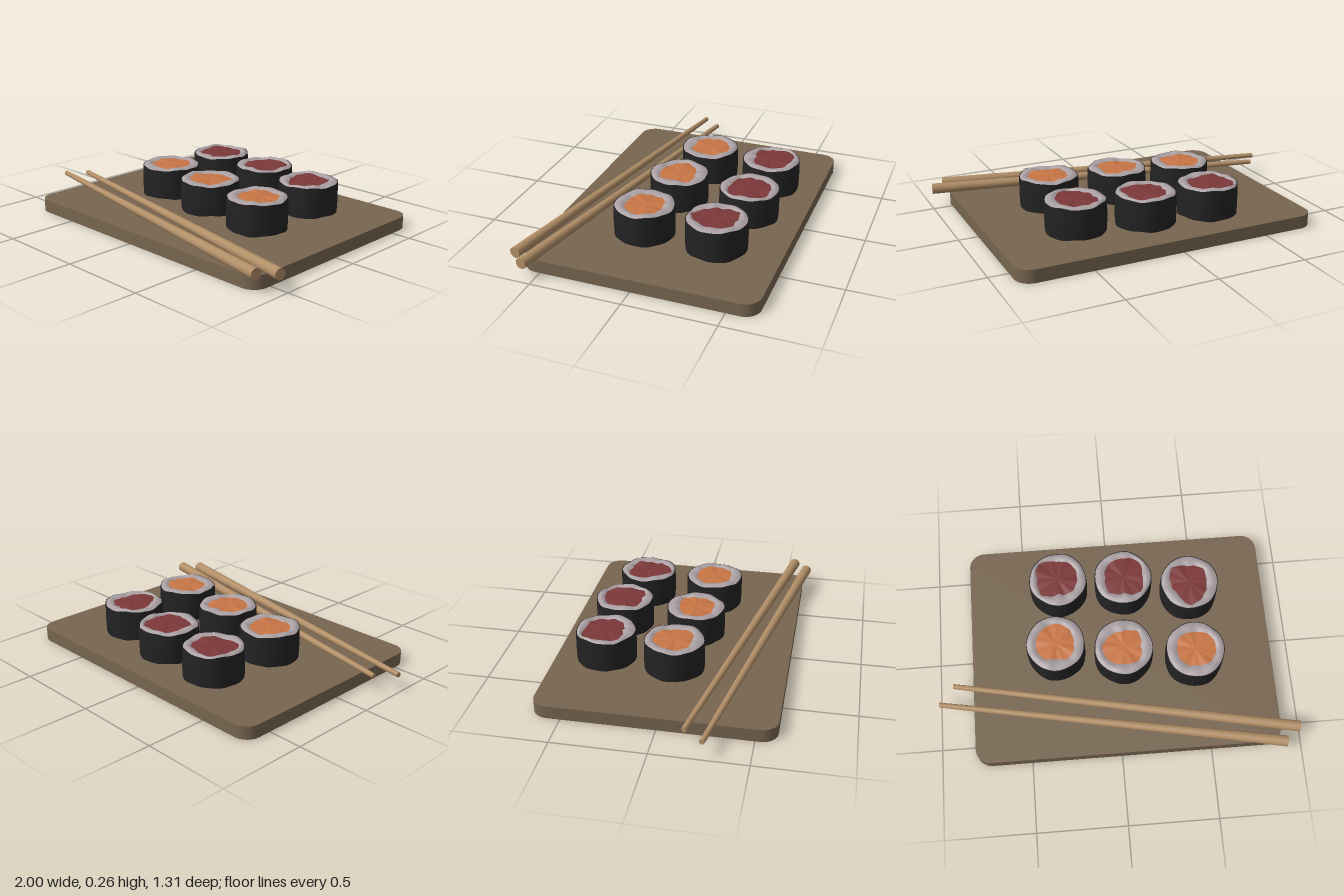
import * as THREE from 'three';

const flat = (name, color) => {
  const m = new THREE.MeshStandardMaterial({ color });
  m.name = name;
  return m;
};

const SEG = 64;
const LOW = 0.074, HIGH = 0.252, RADIUS = 0.162;

// Closed skin through rings; point(row, angle) returns [radius, height].
// Rows running outward on top, or downward on a wall, face out.
function skin(rows, point) {
  const pos = [], index = [];
  for (let i = 0; i <= rows; i++) {
    for (let j = 0; j < SEG; j++) {
      const a = (j / SEG) * Math.PI * 2;
      const [r, y] = point(i / rows, a);
      pos.push(r * Math.cos(a), y, r * Math.sin(a));
    }
  }
  for (let i = 0; i < rows; i++) {
    for (let j = 0; j < SEG; j++) {
      const k = (j + 1) % SEG;
      const a = i * SEG + j, b = i * SEG + k, c = a + SEG, d = b + SEG;
      index.push(a, b, c, b, d, c);
    }
  }
  const g = new THREE.BufferGeometry();
  g.setAttribute('position', new THREE.Float32BufferAttribute(pos, 3));
  g.setIndex(index);
  g.computeVertexNormals();
  return g;
}

export function createModel() {
  const wood = flat('board wood', 0x776550);
  const bamboo = flat('chopstick wood', 0xb08d66);
  const nori = flat('seaweed', 0x232323);
  const rice = flat('rice', 0xaaa0a3);
  const salmon = flat('salmon', 0xc87545);
  const tuna = flat('tuna', 0x7c3839);

  const model = new THREE.Group();
  const add = (parent, name, geometry, material) => {
    const mesh = new THREE.Mesh(geometry, material);
    mesh.name = name;
    parent.add(mesh);
    return mesh;
  };

  // Serving board with rounded corners
  const x0 = -0.807, x1 = 0.892, y0 = -0.61, y1 = 0.658, c = 0.085;
  const s = new THREE.Shape();
  s.absarc(x1 - c, y1 - c, c, 0, Math.PI / 2);
  s.absarc(x0 + c, y1 - c, c, Math.PI / 2, Math.PI);
  s.absarc(x0 + c, y0 + c, c, Math.PI, Math.PI * 1.5);
  s.absarc(x1 - c, y0 + c, c, Math.PI * 1.5, Math.PI * 2);
  const board = new THREE.ExtrudeGeometry(s, { depth: 0.072, bevelEnabled: false, curveSegments: 10 });
  board.rotateX(-Math.PI / 2);
  add(model, 'board', board, wood);

  // Sushi rolls: position, filling, and filling radius every 45 degrees
  const rolls = [
    [-0.29, -0.38, tuna, [0.11, 0.11, 0.09, 0.13, 0.115, 0.145, 0.11, 0.12]],
    [0.08, -0.365, tuna, [0.11, 0.135, 0.1, 0.12, 0.1, 0.115, 0.115, 0.135]],
    [0.455, -0.305, tuna, [0.095, 0.11, 0.14, 0.1, 0.105, 0.13, 0.1, 0.115]],
    [-0.325, 0.005, salmon, [0.1, 0.115, 0.09, 0.11, 0.11, 0.11, 0.118, 0.11]],
    [0.05, 0.055, salmon, [0.095, 0.115, 0.1, 0.11, 0.12, 0.1, 0.09, 0.12]],
    [0.445, 0.1, salmon, [0.115, 0.11, 0.095, 0.105, 0.1, 0.11, 0.1, 0.115]],
  ];

  rolls.forEach(([x, z, filling, radii], n) => {
    const roll = new THREE.Group();
    roll.name = `sushiRoll${n + 1}`;
    roll.position.set(x, 0, z);
    model.add(roll);

    const core = (a) => {
      const t = (a / (Math.PI * 2)) * 8, i = Math.floor(t) % 8, f = t - Math.floor(t);
      return THREE.MathUtils.lerp(radii[i], radii[(i + 1) % 8], f) + 0.002 * Math.sin(a * 11 + n);
    };
    const rim = (a) => RADIUS + 0.002 * Math.sin(a * 5 + n * 1.7);
    const wave = (a) => 0.003 * Math.sin(a * 4 + n * 2) + 0.002 * Math.sin(a * 9 + n);

    // Uneven cut face; the rice swells between the filling and the wrap
    const riceTop = (t, a) => HIGH - 0.003 + wave(a) + 0.009 * Math.sin(Math.PI * t);
    const fillTop = (t, a) =>
      HIGH - 0.003 + wave(a) * t + 0.004 * (1 - t * t) + 0.002 * Math.sin(a * 3 + n) * t * (1 - t);
    // Underside mirrors the cut face
    const under = (h) => LOW + (HIGH + 0.008 - h) * 0.7;

    add(roll, 'fillingTop', skin(6, (t, a) => [core(a) * t, fillTop(t, a)]), filling);
    add(roll, 'riceTop', skin(6, (t, a) =>
      [THREE.MathUtils.lerp(core(a), rim(a) - 0.004, t), riceTop(t, a)]), rice);
    add(roll, 'wrapRim', skin(1, (t, a) => [rim(a) - 0.004 * (1 - t), riceTop(1, a)]), nori);
    add(roll, 'seaweedWrap', skin(4, (t, a) =>
      [rim(a) + 0.002 * Math.sin(Math.PI * t),
        THREE.MathUtils.lerp(riceTop(1, a), under(riceTop(1, a)), t)]), nori);
    add(roll, 'riceBottom', skin(6, (t, a) =>
      [THREE.MathUtils.lerp(rim(a), core(a), t), under(riceTop(1 - t, a))]), rice);
    add(roll, 'fillingBottom', skin(4, (t, a) =>
      [core(a) * (1 - t), under(fillTop(1 - t, a))]), filling);
  });

  // Tapered chopsticks lying across the front of the board
  const sticks = [
    [-0.917, 0.163, 0.99, 0.546],
    [-0.997, 0.265, 0.91, 0.624],
  ];
  sticks.forEach(([ax, az, bx, bz], n) => {
    const tip = new THREE.Vector3(ax, 0.105, az), end = new THREE.Vector3(bx, 0.105, bz);
    const dir = end.clone().sub(tip);
    const stick = add(model, `chopstick${n + 1}`,
      new THREE.CylinderGeometry(0.03, 0.014, dir.length(), 24), bamboo);
    stick.position.copy(tip).add(end).multiplyScalar(0.5);
    stick.quaternion.setFromUnitVectors(new THREE.Vector3(0, 1, 0), dir.normalize());
  });

  return model;
}
